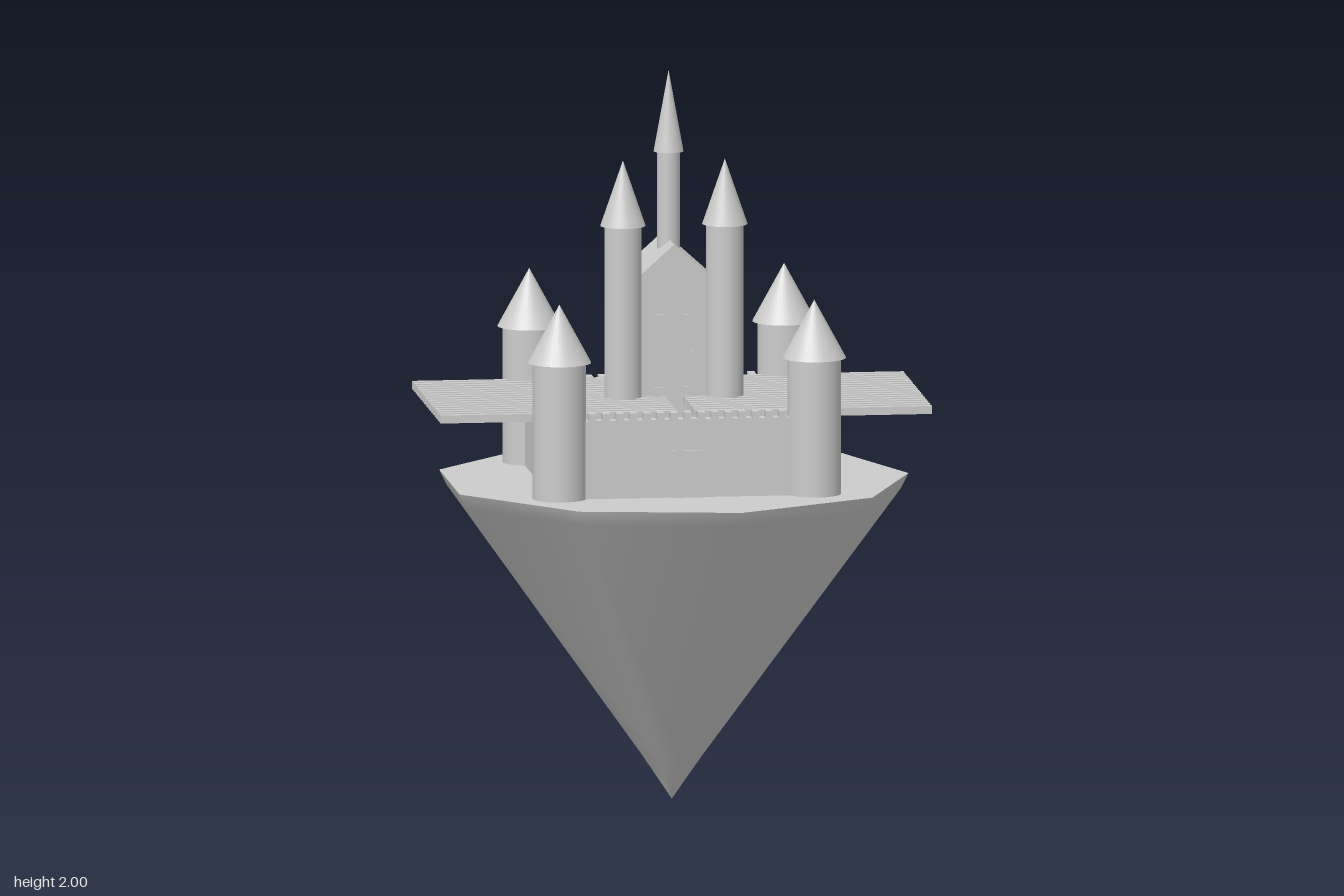
import * as THREE from 'three';

const stone = new THREE.MeshStandardMaterial({ color: 0xcccccc });
stone.name = 'pale stone';

const GROUND = 0.885;

export function createModel() {
  const castle = new THREE.Group();
  castle.name = 'floatingCastle';

  const add = (name, geometry, x = 0, y = 0, z = 0, parent = castle) => {
    const mesh = new THREE.Mesh(geometry, stone);
    mesh.name = name;
    mesh.position.set(x, y, z);
    parent.add(mesh);
    return mesh;
  };
  const box = (name, w, h, d, x, y, z) => add(name, new THREE.BoxGeometry(w, h, d), x, y, z);

  // Nine-sided floating rock with a flat top
  const profile = [[0, 0], [0.085, 0.12], [0.63, 0.845], [0.65, GROUND]]
    .map(([r, y]) => new THREE.Vector2(r, y));
  add('rock', new THREE.LatheGeometry(profile, 9).rotateY(Math.PI / 2));
  add('rockTop', new THREE.CircleGeometry(0.65, 9).rotateX(-Math.PI / 2), 0, GROUND, 0);

  // Round tower with a pointed roof
  const tower = (name, x, z, radius, base, top, roofRadius, tip) => {
    const group = new THREE.Group();
    group.name = name;
    group.position.set(x, 0, z);
    castle.add(group);
    add('shaft', new THREE.CylinderGeometry(radius, radius, top - base, 32), 0, (base + top) / 2, 0, group);
    add('roof', new THREE.ConeGeometry(roofRadius, tip - top, 32), 0, (top + tip) / 2, 0, group);
  };
  for (const side of [-1, 1]) {
    tower('frontCornerTower', side * 0.35, 0.325, 0.073, GROUND, 1.26, 0.087, 1.42);
    tower('backCornerTower', side * 0.35, -0.328, 0.073, GROUND, 1.26, 0.087, 1.42);
    tower('keepTower', side * 0.14, 0.045, 0.051, GROUND, 1.59, 0.062, 1.77);
  }
  tower('spireTower', 0, -0.07, 0.031, 1.4, 1.775, 0.041, 2);

  // Curtain walls
  const wallTop = 1.1;
  const wallHeight = wallTop - GROUND;
  const wallY = (wallTop + GROUND) / 2;
  for (const side of [-1, 1]) {
    box('curtainWall', 0.7, wallHeight, 0.04, 0, wallY, side * 0.328);
    box('sideWall', 0.04, wallHeight, 0.65, side * 0.35, wallY, 0);
  }

  // Merlons on the front and back walls, long beams across the side walls
  for (let i = 0; i < 17; i++) {
    const t = (i - 8) * 0.0373;
    for (const side of [-1, 1]) {
      box('merlon', 0.02, 0.022, 0.042, t, 1.108, side * 0.33);
      box('beam', 0.65, 0.022, 0.02, side * 0.35, 1.107, t + 0.004);
    }
  }

  // Gate
  box('gate', 0.094, 0.13, 0.009, 0, GROUND + 0.065, 0.35);

  // Keep with a gabled roof
  box('keep', 0.29, 1.4 - GROUND, 0.23, 0, (1.4 + GROUND) / 2, -0.07);
  const gable = new THREE.Shape([
    new THREE.Vector2(-0.15, 1.4), new THREE.Vector2(0.15, 1.4), new THREE.Vector2(0, 1.535),
  ]);
  add('keepRoof', new THREE.ExtrudeGeometry(gable, { depth: 0.24, bevelEnabled: false }), 0, 0, -0.193);

  // Keep windows
  for (const x of [-0.04, 0.04])
    for (const y of [1.12, 1.22, 1.32]) box('window', 0.03, 0.045, 0.006, x, y, 0.046);

  return castle;
}
